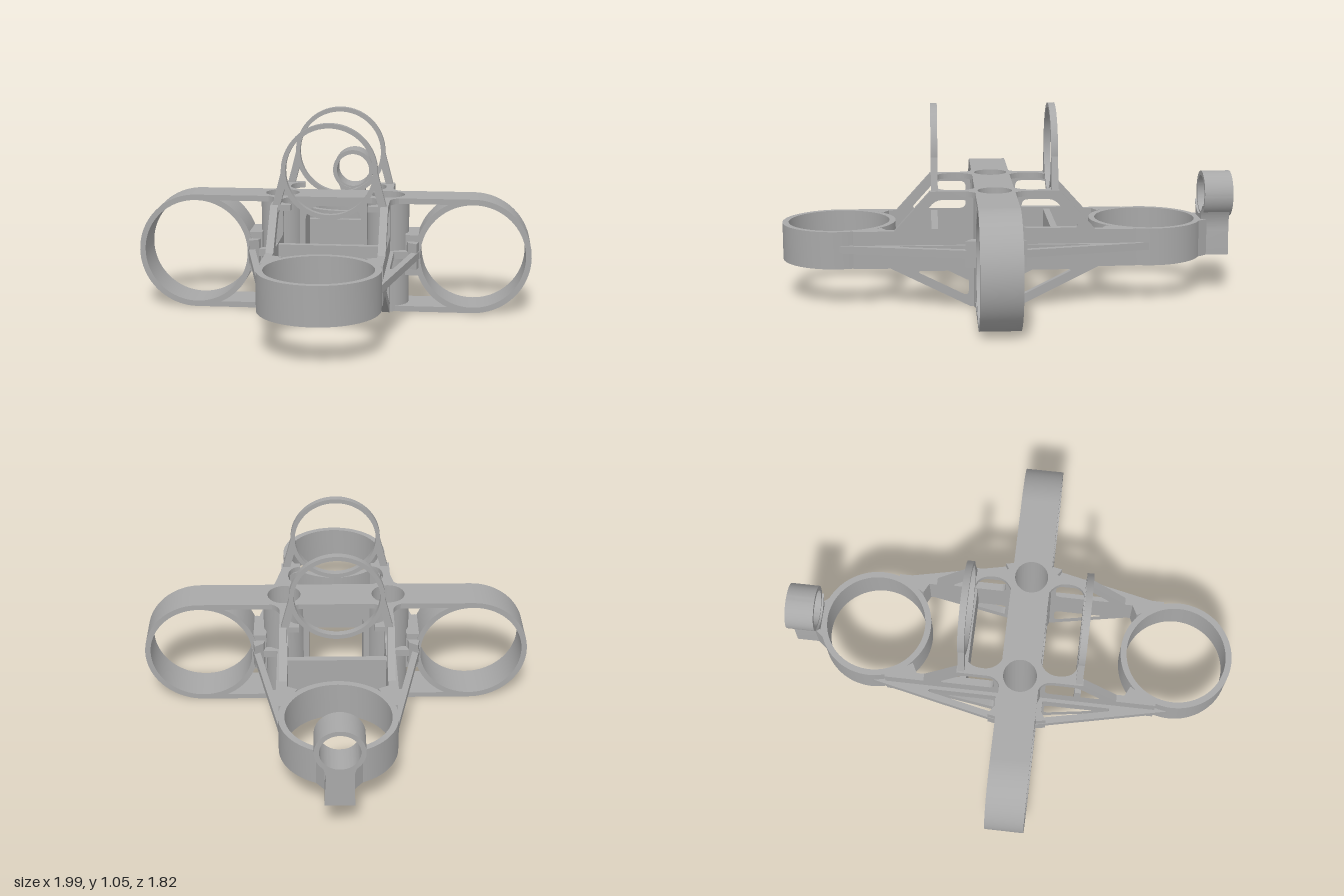
import * as THREE from 'three';
import { toCreasedNormals } from 'three/addons/utils/BufferGeometryUtils.js';

const metal = new THREE.MeshStandardMaterial({ color: 0xa8a8a8 });
metal.name = 'grey metal';

// Closed outline from points
const poly = (pts, Type = THREE.Shape) => new Type(pts.map(p => new THREE.Vector2(p[0], p[1])));

function circle(x, y, r, Type = THREE.Shape) {
  const c = new Type();
  c.absarc(x, y, r, 0, Math.PI * 2, false);
  return c;
}

// Closed outline with rounded corners
function rounded(pts, r, Type = THREE.Path) {
  const s = new Type(), n = pts.length;
  pts.forEach((p, i) => {
    const c = new THREE.Vector2(...p);
    const toward = q => new THREE.Vector2(...q).sub(c).setLength(r).add(c);
    const a = toward(pts[(i + n - 1) % n]), b = toward(pts[(i + 1) % n]);
    if (i === 0) s.moveTo(a.x, a.y); else s.lineTo(a.x, a.y);
    s.quadraticCurveTo(c.x, c.y, b.x, b.y);
  });
  s.closePath();
  return s;
}

// Extrude a shape, centred on `at`, along one axis:
// 'z' takes (x, y) shapes, 'x' takes (z, y) shapes, 'y' takes (x, z) shapes
function slab(name, shape, holes, depth, axis, at) {
  shape.holes.push(...holes);
  let g = new THREE.ExtrudeGeometry(shape, { depth, bevelEnabled: false, curveSegments: 40 });
  g.translate(0, 0, -depth / 2);
  if (axis === 'x') g.rotateY(-Math.PI / 2);
  if (axis === 'y') g.rotateX(Math.PI / 2);
  g = toCreasedNormals(g, 0.5);
  const m = new THREE.Mesh(g, metal);
  m.name = name;
  m.position[axis] = at;
  return m;
}

export function createModel() {
  const root = new THREE.Group();
  root.name = 'bracketFrame';
  const frame = new THREE.Group();
  frame.name = 'frame';
  frame.rotation.y = 0.726;
  frame.position.set(-0.065, 0, 0.045);
  root.add(frame);
  const P = THREE.Path;

  // Middle of the deep beam, open between the two tubes
  frame.add(slab('beamCore', poly([[-0.18, 0], [0.18, 0], [0.18, 0.62], [-0.18, 0.62]]),
    [rounded([[-0.15, 0.05], [0.15, 0.05], [0.15, 0.57], [-0.15, 0.57]], 0.09)], 0.21, 'x', 0));

  for (const t of [-1, 1]) {
    // Beam end ring, its upper and lower plates, and the vertical tube
    frame.add(slab('beamEndRing', circle(t * 0.745, 0.31, 0.31), [circle(t * 0.745, 0.31, 0.28, P)], 0.21, 'x', 0));
    for (const y of [0.015, 0.605]) {
      frame.add(slab('beamPlate', poly([[-0.105, t * 0.17], [0.105, t * 0.17], [0.105, t * 0.745], [-0.105, t * 0.745]]),
        [circle(0, t * 0.285, 0.09, P)], 0.03, 'y', y));
    }
    frame.add(slab('verticalTube', circle(0, t * 0.285, 0.115), [circle(0, t * 0.285, 0.09, P)], 0.62, 'y', 0.31));
    frame.add(slab('tubeToRingWeb', poly([[t * 0.385, 0.2], [t * 0.455, 0.2], [t * 0.455, 0.42], [t * 0.385, 0.42]]),
      [], 0.2, 'x', 0));

    for (const s of [-1, 1]) {
      const m = pts => pts.map(([x, y]) => [s * x, y]);
      const mm = pts => pts.map(([x, z]) => [s * x, t * z]);
      // Trussed side wall from tube to arm ring
      frame.add(slab('armWall',
        poly(m([[0.1, 0], [0.13, 0], [0.55, 0.21], [0.745, 0.21], [0.745, 0.41], [0.53, 0.41], [0.34, 0.62], [0.1, 0.62]])),
        [rounded(m([[0.14, 0.42], [0.45, 0.42], [0.31, 0.575], [0.14, 0.575]]), 0.035),
          rounded(m([[0.14, 0.055], [0.42, 0.195], [0.14, 0.195]]), 0.035)],
        0.04, 'z', t * 0.285));
      // Thin tapering rib outside the wall
      frame.add(slab('outerRib', poly(mm([[0.09, 0.465], [0.82, 0.305], [0.74, 0.28], [0.09, 0.28]])),
        [rounded(mm([[0.13, 0.42], [0.13, 0.325], [0.5, 0.325], [0.5, 0.34]]), 0.007)], 0.04, 'y', 0.315));
      // Flared ends of the rib
      frame.add(slab('ribEnd', poly(mm([[0.09, 0.46], [0.16, 0.447], [0.13, 0.4], [0.09, 0.39]])), [], 0.14, 'y', 0.315));
      // Gusset between wall and arm ring
      frame.add(slab('ringGusset', poly(mm([[0.56, 0.29], [0.6, 0.21], [0.66, 0.245], [0.74, 0.285]])), [], 0.2, 'y', 0.31));
      // Curved flange tying the tube top to the hoop foot
      const f = new THREE.Shape();
      f.moveTo(s * 0.09, t * 0.17);
      f.quadraticCurveTo(s * 0.12, t * 0.265, s * 0.2, t * 0.265);
      f.quadraticCurveTo(s * 0.29, t * 0.265, s * 0.3, t * 0.2);
      f.lineTo(s * 0.335, t * 0.2);
      f.lineTo(s * 0.335, t * 0.305);
      f.lineTo(s * 0.17, t * 0.305);
      f.quadraticCurveTo(s * 0.12, t * 0.31, s * 0.1, t * 0.36);
      f.closePath();
      frame.add(slab('topFlange', f, [], 0.03, 'y', 0.605));
      // Leg from hoop side down to the wall
      frame.add(slab('hoopLeg', poly([[t * 0.248, 0.8], [t * 0.305, 0.58], [t * 0.265, 0.58], [t * 0.225, 0.73]]),
        [], 0.036, 'x', s * 0.317));
    }
  }

  for (const s of [-1, 1]) {
    // Flat arm ring with a vertical bore
    frame.add(slab('armRing', circle(s * 0.835, 0, 0.306), [circle(s * 0.835, 0, 0.273, P)], 0.2, 'y', 0.31));
    // Upright hoop and the crossbar beneath it
    frame.add(slab('uprightHoop', circle(0, 0.797, 0.25), [circle(0, 0.797, 0.226, P)], 0.036, 'x', s * 0.317));
    frame.add(slab('crossbar', poly([[-0.28, 0.21], [0.28, 0.21], [0.28, 0.41], [-0.28, 0.41]]),
      [], 0.036, 'x', s * 0.317));
  }

  // Small eye on a waisted post at the end of one arm
  frame.add(slab('smallEye', circle(0, 0.54, 0.125), [circle(0, 0.54, 0.1, P)], 0.155, 'x', 1.226));
  const post = new THREE.Shape();
  post.moveTo(-0.075, 0.21);
  post.lineTo(0.075, 0.21);
  post.lineTo(0.07, 0.34);
  post.quadraticCurveTo(0.06, 0.42, 0.11, 0.49);
  post.quadraticCurveTo(0, 0.37, -0.11, 0.49);
  post.quadraticCurveTo(-0.06, 0.42, -0.07, 0.34);
  post.closePath();
  frame.add(slab('eyePost', post, [], 0.155, 'x', 1.215));
  frame.add(slab('eyeFoot', poly([[1.1, -0.13], [1.17, -0.075], [1.17, 0.075], [1.1, 0.13], [1.125, 0]]),
    [], 0.2, 'y', 0.31));

  return root;
}
